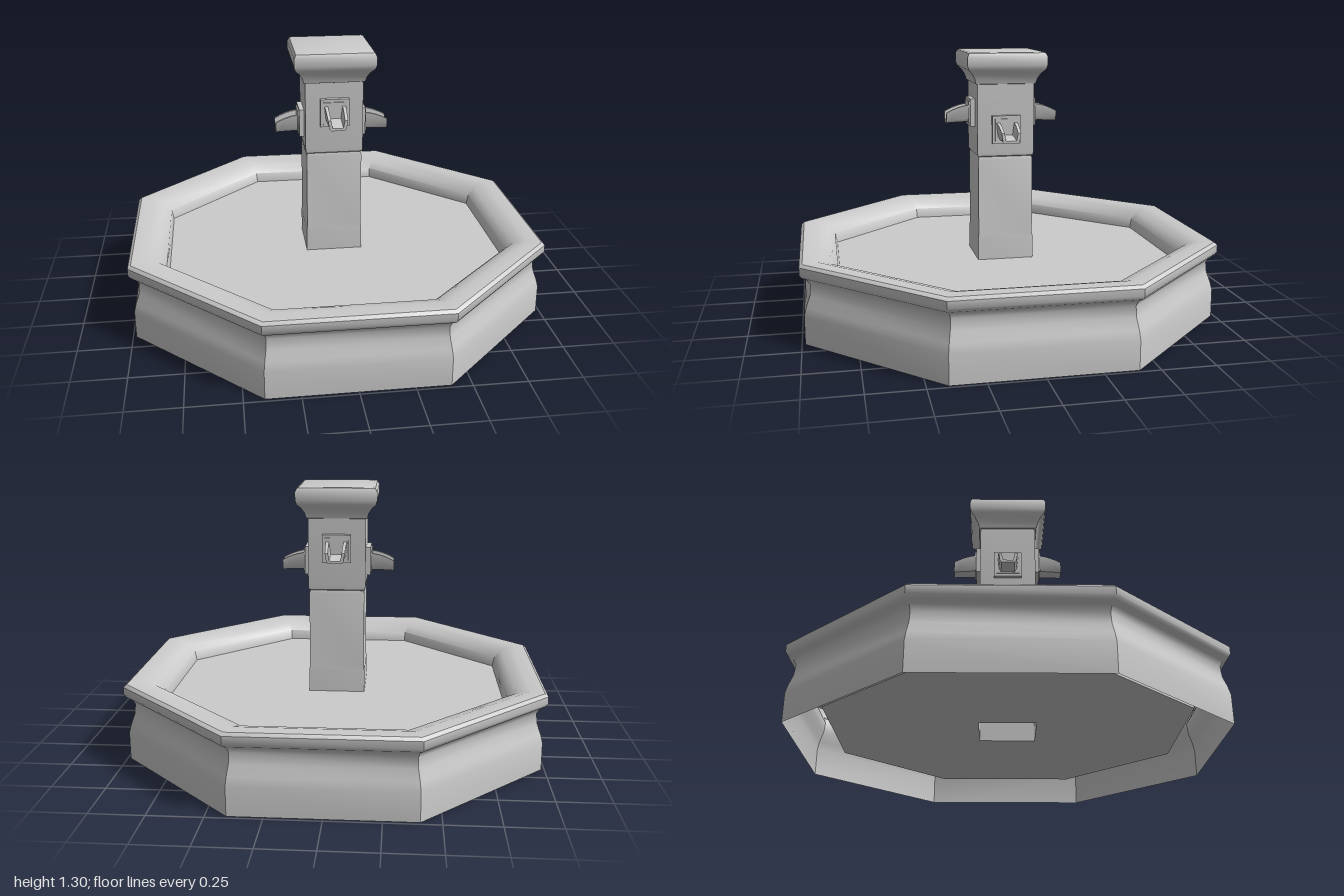
import * as THREE from 'three';
import { toCreasedNormals } from 'three/addons/utils/BufferGeometryUtils.js';

const material = new THREE.MeshStandardMaterial({ color: 0xcccccc, side: THREE.DoubleSide });

function addMesh(parent, name, geometry, crease = 0.65) {
  const mesh = new THREE.Mesh(toCreasedNormals(geometry, crease), material);
  mesh.name = name;
  parent.add(mesh);
  return mesh;
}

// Sweeps a profile of [distance to flat side, height] around a regular polygon.
function polygonSweep(profile, sides) {
  const k = 1 / Math.cos(Math.PI / sides);
  const points = profile.map(([r, y]) => new THREE.Vector2(r * k, y));
  return new THREE.LatheGeometry(points, sides, Math.PI / sides);
}

function polygonPoints(apothem, sides) {
  const r = apothem / Math.cos(Math.PI / sides);
  return Array.from({ length: sides }, (_, i) => {
    const a = ((i + 0.5) / sides) * Math.PI * 2;
    return new THREE.Vector2(Math.cos(a) * r, Math.sin(a) * r);
  });
}

// Open trough that arcs downward towards its tip, pointing along +z.
function spoutGeometry() {
  const length = 0.135;
  const section = new THREE.Shape([
    [-0.052, 0.037], [-0.045, -0.03], [-0.035, -0.047], [0.035, -0.047], [0.045, -0.03],
    [0.052, 0.037], [0.036, 0.037], [0.028, -0.025], [-0.028, -0.025], [-0.036, 0.037],
  ].map(([x, y]) => new THREE.Vector2(x, y)));
  const geometry = new THREE.ExtrudeGeometry(section, { depth: length, steps: 5, bevelEnabled: false });
  const pos = geometry.attributes.position;
  for (let i = 0; i < pos.count; i++) {
    const t = pos.getZ(i) / length;
    const y = pos.getY(i);
    const height = (y + 0.047) / 0.084;
    pos.setY(i, y - t * t * (0.005 + 0.034 * height));
    pos.setX(i, pos.getX(i) * (1 - 0.1 * t));
  }
  return geometry;
}

export function createModel() {
  const fountain = new THREE.Group();
  fountain.name = 'fountain';

  // Octagonal basin wall with a rolled rim, open underneath
  addMesh(fountain, 'basinWall', polygonSweep([
    [0.985, 0.005], [0.985, 0.14], [0.975, 0.18], [0.957, 0.23], [0.952, 0.28], [0.965, 0.305],
    [0.99, 0.32], [1, 0.335], [1, 0.37], [0.985, 0.383], [0.92, 0.383], [0.86, 0.365],
    [0.825, 0.33], [0.815, 0.28], [0.815, 0.24],
  ], 8));

  // Water slab with a square opening for the column
  const slab = new THREE.Shape(polygonPoints(0.83, 8));
  slab.holes.push(new THREE.Path(polygonPoints(0.135, 4)));
  const slabGeometry = new THREE.ExtrudeGeometry(slab, { depth: 0.18, bevelEnabled: false });
  slabGeometry.rotateX(-Math.PI / 2).translate(0, 0.1, 0);
  addMesh(fountain, 'water', slabGeometry);

  // Square column: shaft, upper block and flared cap
  addMesh(fountain, 'columnShaft', polygonSweep([
    [0.137, 0.1], [0.137, 0.39], [0.134, 0.41], [0.134, 0.78], [0.13, 0.795],
  ], 4));
  addMesh(fountain, 'columnBlock', polygonSweep([
    [0.128, 0.793], [0.137, 0.8], [0.139, 0.82], [0.139, 1.15],
  ], 4));
  addMesh(fountain, 'columnCap', polygonSweep([
    [0.13, 1.145], [0.146, 1.15], [0.153, 1.175], [0.168, 1.2], [0.188, 1.22], [0.194, 1.24],
    [0.194, 1.28], [0.185, 1.298], [0.175, 1.302], [0, 1.302],
  ], 4));

  // Four spouts; the side pair sits lower than the front and back pair
  for (let i = 0; i < 4; i++) {
    const spout = new THREE.Group();
    spout.name = ['frontSpout', 'leftSpout', 'backSpout', 'rightSpout'][i];
    addMesh(spout, 'spoutPlate', new THREE.BoxGeometry(0.138, 0.136, 0.03)).position.z = 0.147;
    addMesh(spout, 'spoutCollar', new THREE.BoxGeometry(0.114, 0.108, 0.012)).position.z = 0.162;
    addMesh(spout, 'spoutTrough', spoutGeometry()).position.z = 0.14;
    spout.rotation.y = (i * Math.PI) / 2;
    spout.position.y = i % 2 ? 0.93 : 1.005;
    fountain.add(spout);
  }

  return fountain;
}
